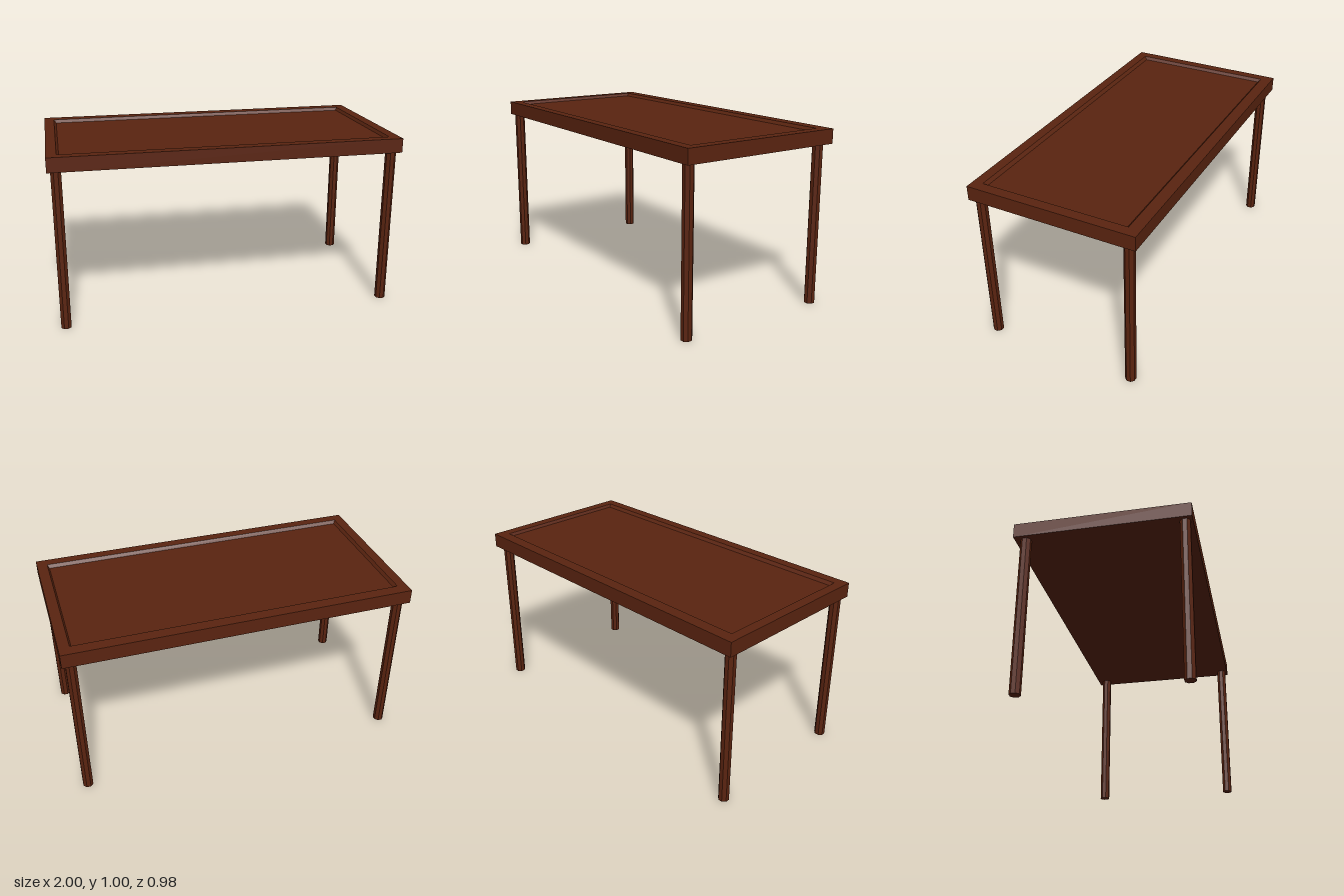
import * as THREE from 'three';

// Solid from stacked rectangular loops [x0, x1, z0, z1, y], capped at both ends
function loftRectangles(loops) {
  const rings = loops.map(([x0, x1, z0, z1, y]) => [[x0, y, z1], [x1, y, z1], [x1, y, z0], [x0, y, z0]]);
  const pos = [];
  const quad = (a, b, c, d) => pos.push(...a, ...b, ...c, ...a, ...c, ...d);
  for (let r = 0; r < rings.length - 1; r++) {
    for (let i = 0; i < 4; i++) {
      const j = (i + 1) % 4;
      quad(rings[r][i], rings[r][j], rings[r + 1][j], rings[r + 1][i]);
    }
  }
  quad(...[...rings[0]].reverse());
  quad(...rings[rings.length - 1]);
  const geometry = new THREE.BufferGeometry();
  geometry.setAttribute('position', new THREE.Float32BufferAttribute(pos, 3));
  geometry.computeVertexNormals();
  return geometry;
}

export function createModel() {
  const group = new THREE.Group();
  group.name = 'table';
  const wood = new THREE.MeshStandardMaterial({ color: 0x5a2410, flatShading: true });

  // Table top: outer slab, raised rim, bevelled step down to the recessed panel
  const top = new THREE.Mesh(loftRectangles([
    [-1, 1, -0.49, 0.49, 0.922],
    [-1, 1, -0.49, 0.49, 1.005],
    [-0.943, 0.94, -0.422, 0.432, 1.005],
    [-0.93, 0.93, -0.406, 0.415, 0.988],
  ]), wood);
  top.name = 'tableTop';
  group.add(top);

  // Octagonal legs with flats facing the sides
  const legHeight = 0.925;
  const radius = 0.0285 / Math.cos(Math.PI / 8);
  const legGeometry = new THREE.CylinderGeometry(radius, radius, legHeight, 8);
  legGeometry.rotateY(Math.PI / 8);
  for (const [side, x] of [['Left', 0.948], ['Right', -0.952]]) {
    for (const [end, z] of [['front', 0.448], ['back', -0.431]]) {
      const leg = new THREE.Mesh(legGeometry, wood);
      leg.name = `${end}${side}Leg`;
      leg.position.set(x, legHeight / 2, z);
      group.add(leg);
    }
  }
  return group;
}
